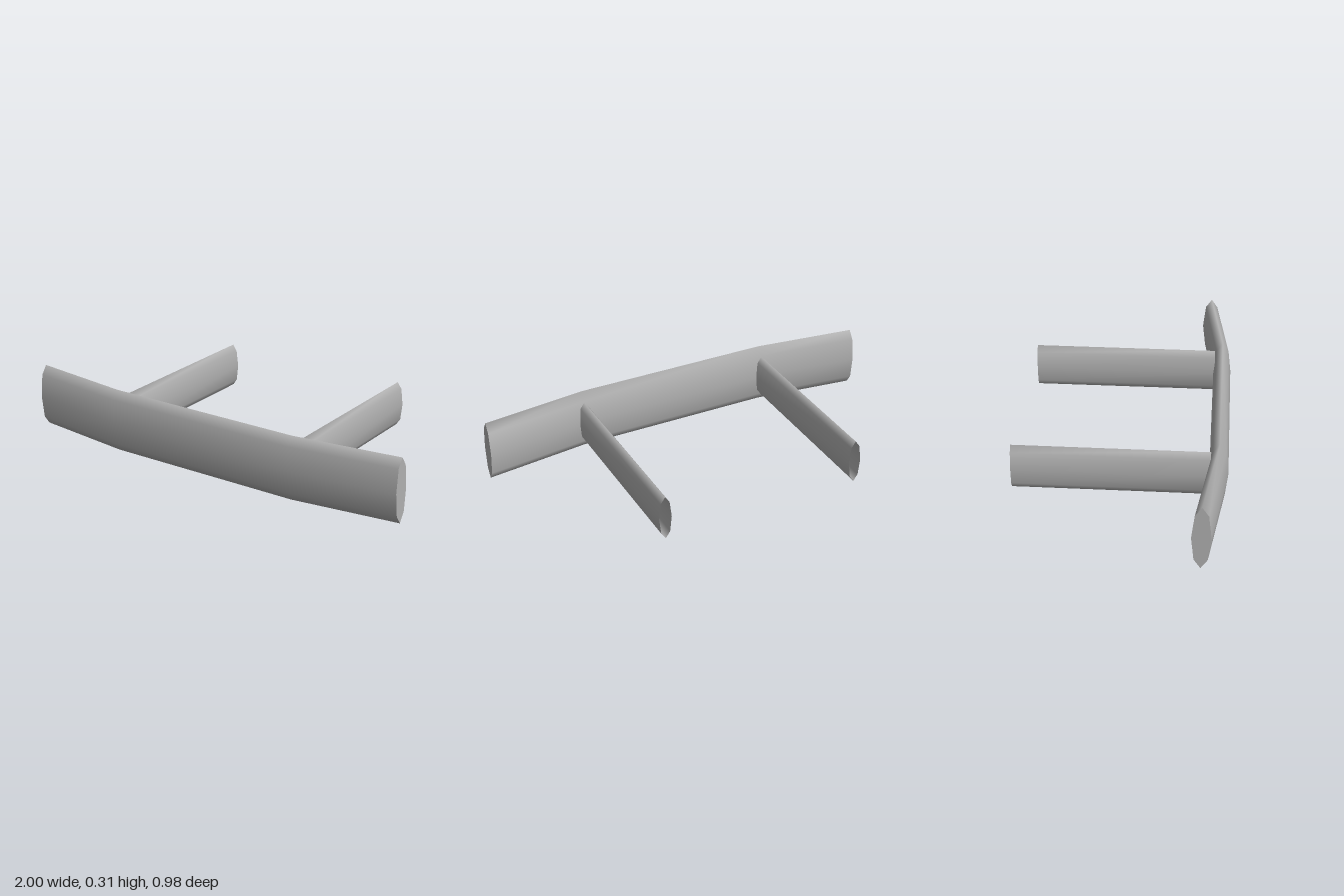
import * as THREE from 'three';

// Eight-sided oval section: [depth, height] from its centre
const SECTION = [
  [0.043, 0], [0.03, 0.11], [0, 0.153], [-0.03, 0.11],
  [-0.043, 0], [-0.03, -0.11], [0, -0.153], [0.03, -0.11],
];
const N = SECTION.length;

// Sweep the section through [x, z] stations, smooth-shaded, with optional flat end caps
function loft(stations, scale, capped) {
  const pos = [], index = [];
  const ring = ([x, z]) => {
    for (const [u, v] of SECTION) pos.push(x, v * scale, z + u * scale);
  };
  stations.forEach(ring);
  for (let i = 0; i < stations.length - 1; i++) {
    for (let j = 0; j < N; j++) {
      const k = (j + 1) % N;
      const a = i * N + j, b = i * N + k, c = a + N, d = b + N;
      index.push(a, c, d, a, d, b);
    }
  }
  if (capped) {
    [stations[0], stations[stations.length - 1]].forEach((station, end) => {
      const base = pos.length / 3;
      ring(station);
      for (let j = 1; j < N - 1; j++) {
        if (end) index.push(base, base + j + 1, base + j);
        else index.push(base, base + j, base + j + 1);
      }
    });
  }
  const geometry = new THREE.BufferGeometry();
  geometry.setAttribute('position', new THREE.Float32BufferAttribute(pos, 3));
  geometry.setIndex(index);
  geometry.computeVertexNormals();
  return geometry;
}

export function createModel() {
  const group = new THREE.Group();
  group.name = 'bumper';
  const metal = new THREE.MeshStandardMaterial({ color: 0xb0b0b0, side: THREE.DoubleSide });
  metal.name = 'grey metal';

  // Cross bar with both ends swept back
  const bar = new THREE.Mesh(
    loft([[-1, 0.382], [-0.49, 0.447], [0.49, 0.447], [1, 0.382]], 1, true), metal);
  bar.name = 'crossBar';
  bar.position.y = 0.153;
  group.add(bar);

  // Open-ended mounting tubes running backwards
  const tube = loft([[-0.41, 0], [0.49, 0]], 0.72, false).rotateY(Math.PI / 2);
  for (const [name, side] of [['leftMount', 1], ['rightMount', -1]]) {
    const mount = new THREE.Mesh(tube, metal);
    mount.name = name;
    mount.position.set(side * 0.49, 0.153, 0);
    group.add(mount);
  }
  return group;
}
